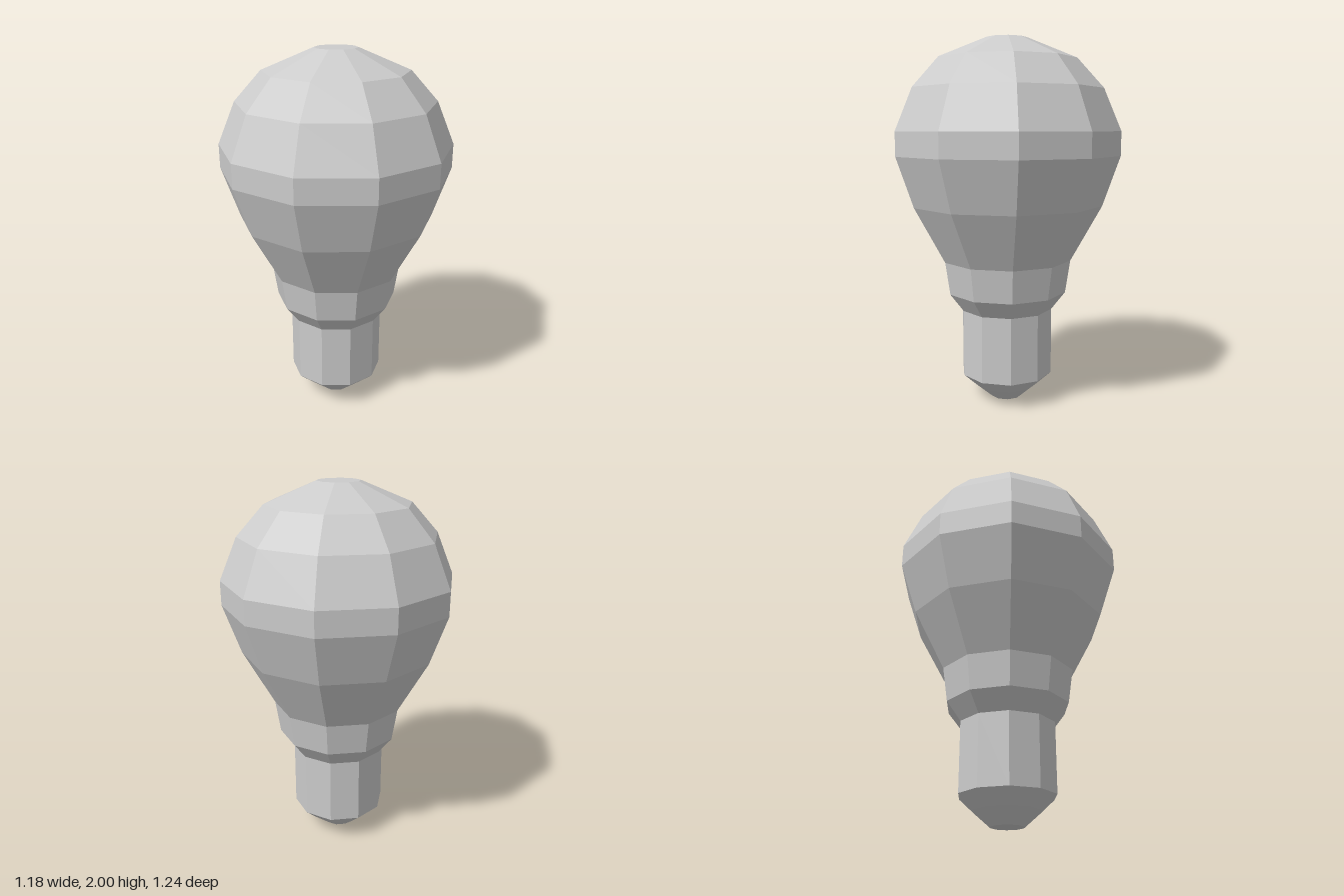
import * as THREE from 'three';

const SIDES = 10;

// Each part is a ten-sided faceted turning; profile runs bottom to top as [radius, y].
const parts = {
  contactTip: [[0, 0], [0.088, 0], [0.175, 0.075], [0.257, 0.15]],
  screwBase: [[0.257, 0.15], [0.257, 0.52]],
  neckCollar: [[0.257, 0.52], [0.333, 0.62], [0.36, 0.8]],
  glassBulb: [
    [0.36, 0.8], [0.527, 1.105], [0.62, 1.375], [0.62, 1.505],
    [0.525, 1.73], [0.382, 1.888], [0.113, 2], [0, 2],
  ],
};

export function createModel() {
  const group = new THREE.Group();
  group.name = 'lightBulb';
  const material = new THREE.MeshStandardMaterial({ color: 0xcccccc, flatShading: true });

  for (const [name, profile] of Object.entries(parts)) {
    const points = profile.map(([r, y]) => new THREE.Vector2(r, y));
    const mesh = new THREE.Mesh(new THREE.LatheGeometry(points, SIDES), material);
    mesh.name = name;
    group.add(mesh);
  }
  return group;
}
